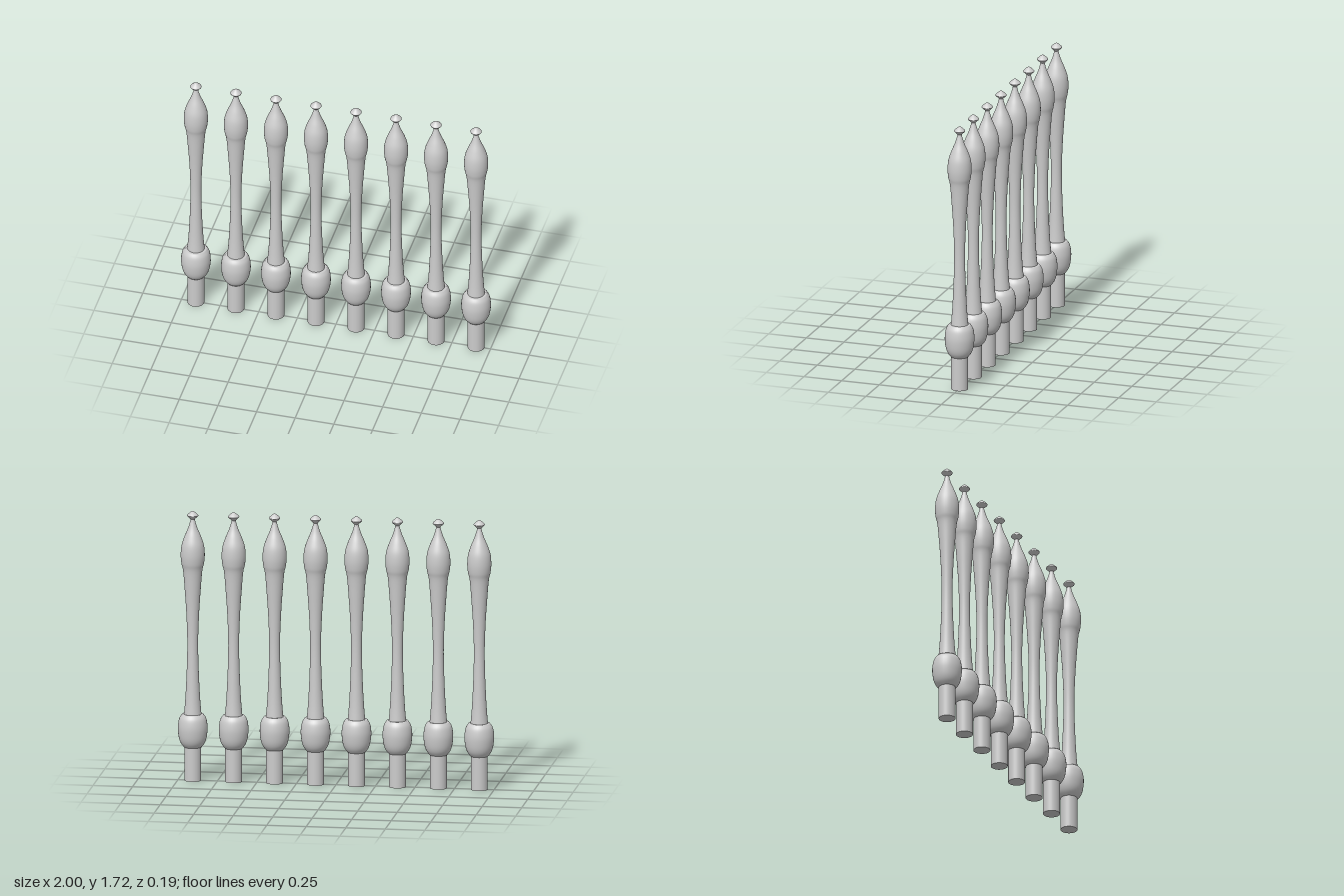
import * as THREE from 'three';

const COUNT = 8, SPACING = 0.259, SIDES = 32;
const material = new THREE.MeshStandardMaterial({ color: 0xcccccc, side: THREE.DoubleSide });

// Smooth spline through [radius, height] points
function curve(points, steps) {
  return new THREE.SplineCurve(points.map(([r, y]) => new THREE.Vector2(r, y)))
    .getPoints(steps)
    .map(p => new THREE.Vector2(Math.max(p.x, 0), p.y));
}

function lathe(name, profile) {
  const mesh = new THREE.Mesh(new THREE.LatheGeometry(profile, SIDES), material);
  mesh.name = name;
  return mesh;
}

function createSpindle() {
  const spindle = new THREE.Group();

  // Straight round peg at the foot
  const peg = new THREE.Mesh(new THREE.CylinderGeometry(0.053, 0.053, 0.23, SIDES), material);
  peg.name = 'peg';
  peg.position.y = 0.115;

  // Barrel-shaped bulb with a flat top
  const bulb = lathe('bulb', [
    new THREE.Vector2(0.05, 0.213),
    ...curve([[0.056, 0.214], [0.075, 0.24], [0.087, 0.275], [0.093, 0.325],
      [0.091, 0.365], [0.083, 0.4], [0.067, 0.424]], 24),
    new THREE.Vector2(0.04, 0.425),
  ]);

  // Waisted shaft flaring into the bud-shaped head
  const shaft = lathe('shaftAndHead', curve([[0.055, 0.42], [0.048, 0.5], [0.042, 0.6],
    [0.036, 0.75], [0.034, 0.9], [0.04, 1.07], [0.05, 1.22], [0.06, 1.34], [0.071, 1.39],
    [0.0755, 1.445], [0.07, 1.505], [0.052, 1.56], [0.031, 1.61], [0.018, 1.65], [0.013, 1.672]], 70));

  // Small pointed finial
  const finial = lathe('finial', [
    ...curve([[0.013, 1.671], [0.022, 1.68], [0.033, 1.69], [0.035, 1.696],
      [0.029, 1.704], [0.015, 1.716], [0.006, 1.722], [0, 1.723]], 20),
  ]);

  spindle.add(peg, bulb, shaft, finial);
  return spindle;
}

export function createModel() {
  const model = new THREE.Group();
  model.name = 'spindleRow';
  const spindle = createSpindle();
  // Evenly spaced row along x
  for (let i = 0; i < COUNT; i++) {
    const copy = spindle.clone();
    copy.name = `spindle${i + 1}`;
    copy.position.x = (i - (COUNT - 1) / 2) * SPACING;
    model.add(copy);
  }
  return model;
}
